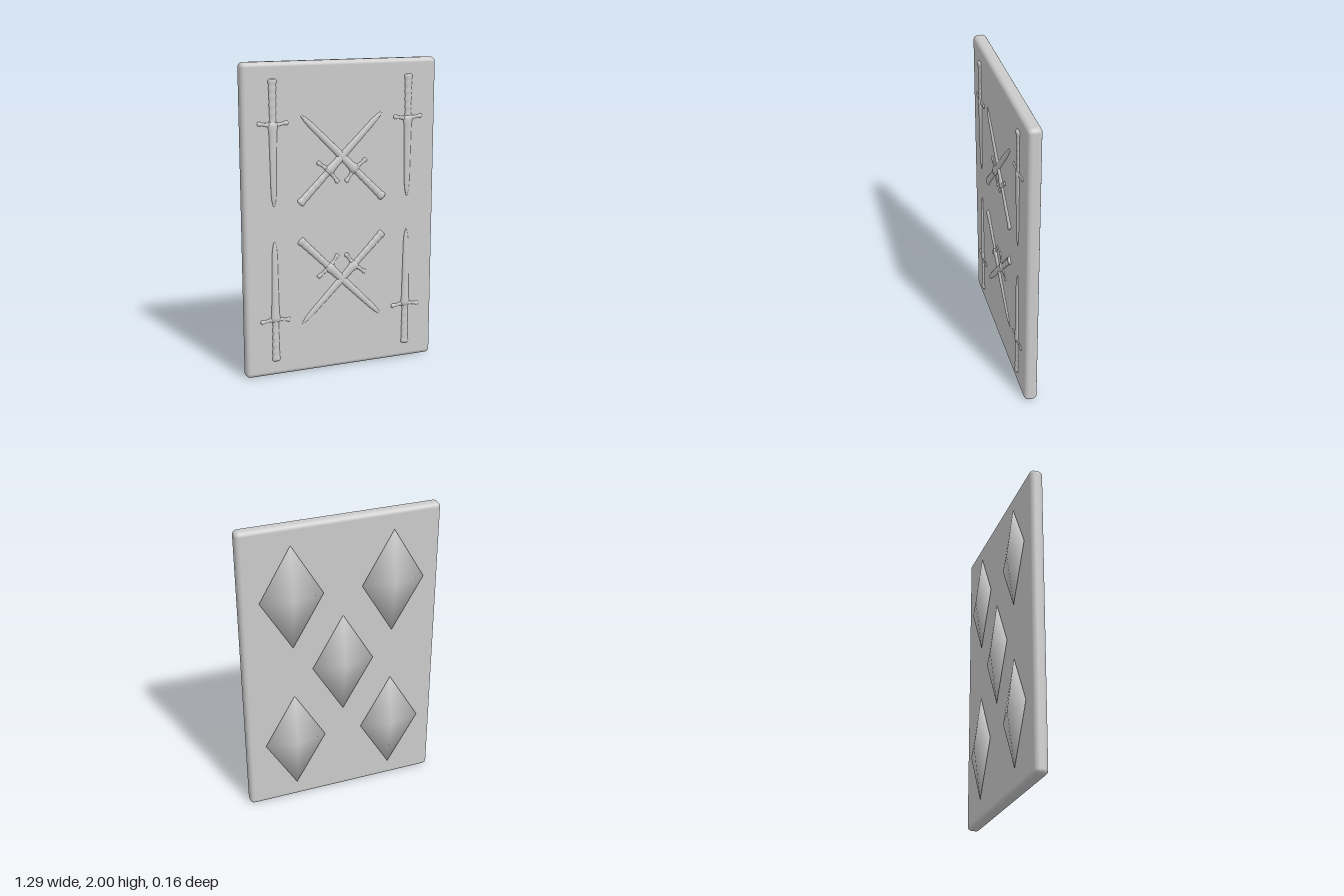
import * as THREE from 'three';
import { mergeVertices } from 'three/addons/utils/BufferGeometryUtils.js';
import { RoundedBoxGeometry } from 'three/addons/geometries/RoundedBoxGeometry.js';

const material = new THREE.MeshStandardMaterial({ color: 0xcccccc });
const FRONT = 0.06;    // front face of the slab
const FLATTEN = 0.58;  // relief depth relative to width

function addMesh(parent, name, geometry) {
  const mesh = new THREE.Mesh(geometry, material);
  mesh.name = name;
  parent.add(mesh);
  return mesh;
}

// Round bar along y from [radius, y] pairs, listed bottom to top
function turned(points) {
  return new THREE.LatheGeometry(points.map(([r, y]) => new THREE.Vector2(r, y)), 20);
}

// Grip with shallow waves and a blunt pommel; pommel end at y = 0
function gripGeometry() {
  const points = [[0, -0.275]];
  for (let i = 0; i <= 24; i++) {
    const t = i / 24;
    points.push([0.02 + 0.004 * t + 0.0012 * Math.sin(t * 30), -0.27 + 0.235 * t]);
  }
  points.push([0.027, -0.025], [0.027, -0.01], [0.022, -0.002], [0, 0]);
  return turned(points);
}

const bladeGeometry = () => turned([
  [0, -0.79], [0.006, -0.782], [0.014, -0.745], [0.018, -0.7],
  [0.021, -0.55], [0.024, -0.4], [0.026, -0.32], [0.032, -0.29], [0.026, -0.265], [0, -0.255],
]);

// Cross guard with knobbed ends, bowed toward the grip
function guardGeometry() {
  const half = [[0, 0.1], [0.01, 0.098], [0.015, 0.09], [0.014, 0.081], [0.01, 0.07], [0.01, 0.05], [0.015, 0.025], [0.021, 0]];
  const lower = half.map(([r, y]) => [r, -y]);
  const geometry = turned([...lower, ...half.slice(0, -1).reverse()]);
  geometry.rotateZ(Math.PI / 2);
  const p = geometry.attributes.position;
  for (let i = 0; i < p.count; i++) {
    p.setY(i, p.getY(i) - 0.285 + 0.015 * Math.min(1, Math.abs(p.getX(i)) / 0.08));
  }
  geometry.computeVertexNormals();
  return geometry;
}

const swordParts = { grip: gripGeometry(), blade: bladeGeometry(), guard: guardGeometry() };

// Sword in relief: pommel at (x, y), tip pointing down before turning
function addSword(parent, name, x, y, angle) {
  const sword = new THREE.Group();
  sword.name = name;
  for (const [part, geometry] of Object.entries(swordParts)) addMesh(sword, part, geometry);
  sword.scale.z = FLATTEN;
  sword.rotation.z = angle;
  sword.position.set(x, y, FRONT);
  parent.add(sword);
}

// Smooth-shaded diamond stud, half sunk into the back
function studGeometry() {
  const octahedron = new THREE.OctahedronGeometry(1);
  octahedron.deleteAttribute('normal');
  octahedron.deleteAttribute('uv');
  const geometry = mergeVertices(octahedron);
  geometry.scale(0.205, 0.35, 0.045);
  geometry.computeVertexNormals();
  return geometry;
}

export function createModel() {
  const model = new THREE.Group();
  model.name = 'carvedPanel';

  // Slab
  addMesh(model, 'slab', new RoundedBoxGeometry(1.295, 2, 0.085, 4, 0.03)).position.set(0, 1, 0.0175);

  // Upright swords at the sides and crossed pairs in the middle
  for (const side of [-1, 1]) {
    const label = side > 0 ? 'left' : 'right';
    addSword(model, label + 'UpperSword', side * 0.452, 1.9, 0);
    addSword(model, label + 'LowerSword', side * 0.452, 0.1, Math.PI);
    addSword(model, label + 'UpperCrossedSword', side * 0.285, 1.115, -side * Math.PI * 0.75);
    addSword(model, label + 'LowerCrossedSword', side * 0.285, 0.885, -side * Math.PI * 0.25);
  }

  // Five studs on the back
  const stud = studGeometry();
  for (const [dx, dy] of [[0, 0], [-1, -1], [1, -1], [-1, 1], [1, 1]]) {
    addMesh(model, 'backStud', stud).position.set(-0.007 + dx * 0.33, 1 + dy * 0.53, -0.035);
  }
  return model;
}
